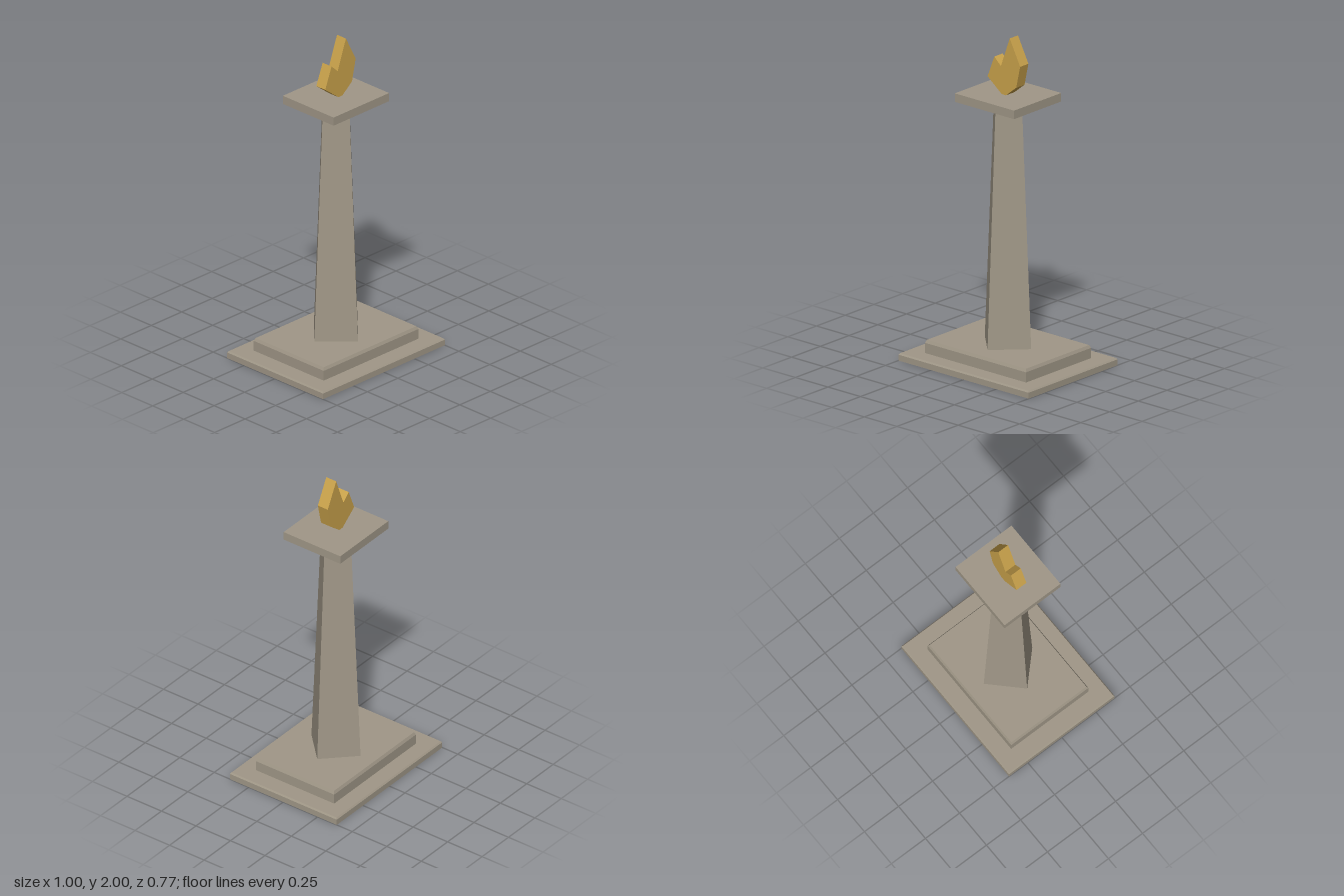
import * as THREE from 'three';

const stone = new THREE.MeshStandardMaterial({ color: 0xa09787 });
stone.name = 'stone';
const gold = new THREE.MeshStandardMaterial({ color: 0xc9a24b });
gold.name = 'flame gold';

// Facets a geometry and wraps it as a named mesh.
function part(name, geometry, material, y = 0) {
  const flat = geometry.index ? geometry.toNonIndexed() : geometry;
  flat.computeVertexNormals();
  const mesh = new THREE.Mesh(flat, material);
  mesh.name = name;
  mesh.position.y = y;
  return mesh;
}

// Box standing on y = 0 with its top edge chamfered.
function chamferedSlab(w, h, d, inset, drop) {
  const geo = new THREE.BoxGeometry(w, h, d, 1, 2, 1);
  const p = geo.attributes.position;
  for (let i = 0; i < p.count; i++) {
    const y = p.getY(i);
    if (y > h / 4) {
      p.setXYZ(i, p.getX(i) - Math.sign(p.getX(i)) * inset, h, p.getZ(i) - Math.sign(p.getZ(i)) * inset);
    } else {
      p.setY(i, y < -h / 4 ? 0 : h - drop);
    }
  }
  return geo;
}

export function createModel() {
  const model = new THREE.Group();
  model.name = 'flameMonument';

  // Stepped base
  model.add(part('lowerStep', chamferedSlab(1, 0.045, 0.775, 0.007, 0.009), stone));
  model.add(part('upperStep', chamferedSlab(0.776, 0.08, 0.566, 0.008, 0.018), stone, 0.045));

  // Tapered four-sided shaft, corners facing front and sides
  const shaftHeight = 1.47;
  model.add(part('shaft', new THREE.CylinderGeometry(0.108, 0.178, shaftHeight, 4), stone, 0.125 + shaftHeight / 2));

  // Cap slab
  model.add(part('cap', new THREE.BoxGeometry(0.455, 0.052, 0.41), stone, 1.62));

  // Flat cut-out flame
  const outline = [
    [-0.015, 1.645], [0.015, 1.645], [0.095, 1.71], [0.125, 1.845],
    [0.045, 2.0], [-0.023, 1.815], [-0.073, 1.862], [-0.125, 1.73],
  ].map(([x, y]) => new THREE.Vector2(x, y));
  const depth = 0.072;
  const flame = new THREE.ExtrudeGeometry(new THREE.Shape(outline), { depth, bevelEnabled: false });
  flame.translate(0, 0, -depth / 2);
  model.add(part('flame', flame, gold));

  return model;
}
